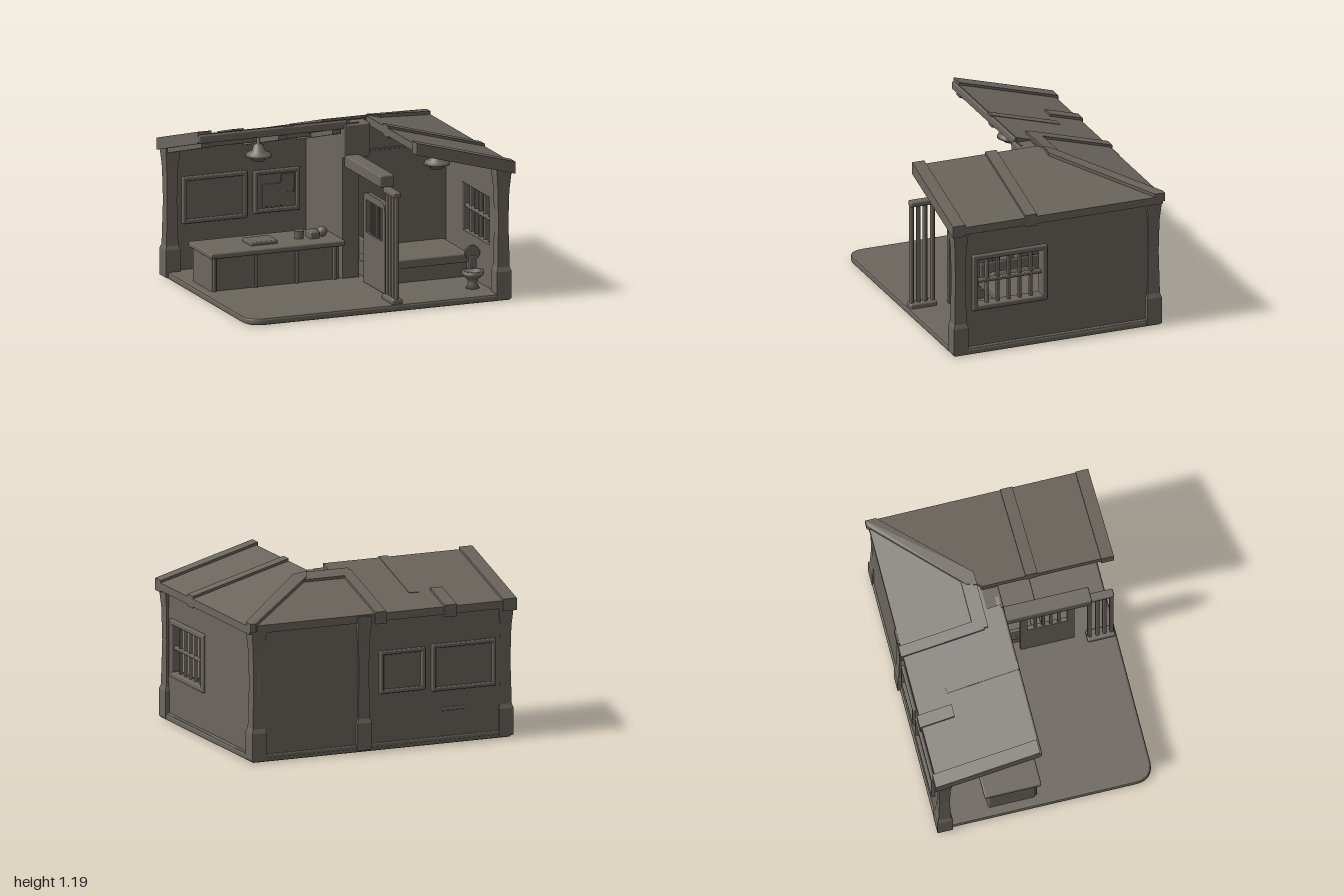
import * as THREE from 'three';
import { RoundedBoxGeometry } from 'three/addons/geometries/RoundedBoxGeometry.js';

export function createModel() {
  const model = new THREE.Group();
  const clay = new THREE.MeshStandardMaterial({ color: 0x6b655d });
  clay.name = 'warm grey';

  function add(name, geo, parent = model) {
    const m = new THREE.Mesh(geo, clay);
    m.name = name;
    parent.add(m);
    return m;
  }
  function group(name) {
    const g = new THREE.Group();
    g.name = name;
    model.add(g);
    return g;
  }
  // Box given by its limits, with softly rounded edges
  function block(name, x0, x1, y0, y1, z0, z1, parent = model) {
    const w = x1 - x0, h = y1 - y0, d = z1 - z0;
    const m = add(name, new RoundedBoxGeometry(w, h, d, 2, Math.min(0.012, Math.min(w, h, d) * 0.3)), parent);
    m.position.set((x0 + x1) / 2, (y0 + y1) / 2, (z0 + z1) / 2);
    return m;
  }
  // Slab over a plan outline of [x, z] points, its top following a height rule
  function slab(name, plan, top, t, parent = model) {
    const shape = new THREE.Shape(plan.map(([x, z]) => new THREE.Vector2(x, -z)));
    const geo = new THREE.ExtrudeGeometry(shape, { depth: t, bevelEnabled: false });
    geo.rotateX(-Math.PI / 2);
    const p = geo.attributes.position;
    for (let i = 0; i < p.count; i++) p.setY(i, p.getY(i) - t + top(p.getX(i), p.getZ(i)));
    geo.computeVertexNormals();
    return add(name, geo, parent);
  }
  const rect = (x0, x1, z0, z1) => [[x0, z0], [x1, z0], [x1, z1], [x0, z1]];
  // Box whose top follows a height rule
  function slopedWall(name, x0, x1, z0, z1, top) {
    const geo = new THREE.BoxGeometry(x1 - x0, 1, z1 - z0, 8, 1, 8);
    geo.translate((x0 + x1) / 2, 0, (z0 + z1) / 2);
    const p = geo.attributes.position;
    for (let i = 0; i < p.count; i++) p.setY(i, p.getY(i) > 0 ? top(p.getX(i), p.getZ(i)) : 0.04);
    geo.computeVertexNormals();
    add(name, geo);
  }

  // Roof heights: one pitch falls to the back, the other to the left side
  const backPitch = (x, z) => 0.965 + (z + 0.78) * 0.29;
  const sidePitch = (x) => 0.965 + (1 - x) * 0.275;
  const hip = (x, z) => Math.min(backPitch(x, z), sidePitch(x));

  // Floor with one rounded corner
  const f = new THREE.Shape();
  f.moveTo(0.96, 0.75);
  f.lineTo(-0.95, 0.75);
  f.lineTo(-0.95, -0.63);
  f.quadraticCurveTo(-0.95, -0.75, -0.83, -0.75);
  f.lineTo(0.96, -0.75);
  f.closePath();
  const floorGeo = new THREE.ExtrudeGeometry(f, { depth: 0.02, bevelThickness: 0.015, bevelSize: 0.015, bevelSegments: 2 });
  floorGeo.rotateX(-Math.PI / 2);
  add('floor', floorGeo).position.y = 0.02;

  // Outer walls
  block('backWall', -0.93, 0.93, 0.04, 0.95, -0.755, -0.7);
  const side = new THREE.Shape();
  side.moveTo(-0.73, 0.04);
  side.lineTo(0.74, 0.04);
  side.lineTo(0.74, 0.97);
  side.lineTo(-0.73, 0.95);
  side.closePath();
  side.holes.push(new THREE.Path([[0.1, 0.36], [0.1, 0.7], [0.59, 0.7], [0.59, 0.36]].map((p) => new THREE.Vector2(...p))));
  const sideGeo = new THREE.ExtrudeGeometry(side, { depth: 0.06, bevelEnabled: false });
  sideGeo.rotateY(-Math.PI / 2);
  add('sideWall', sideGeo).position.x = 0.95;
  block('sideSkirting', 0.9, 0.965, 0.03, 0.058, -0.7, 0.7);
  block('backSkirting', -0.9, 0.9, 0.03, 0.058, -0.768, -0.7);

  // Inner walls of the cell
  slopedWall('dividingWall', 0.07, 0.19, -0.73, -0.05, (x, z) => backPitch(x, z) - 0.03);
  slopedWall('cellBackWall', 0.15, 0.92, -0.24, -0.18, (x, z) => hip(x, z) - 0.03);
  block('gablePanel', 0.07, 0.27, 0.9, 1.14, -0.19, -0.03);
  block('cellWallTrim', 0.19, 0.9, 0.9, 0.915, -0.19, -0.172);

  // Flared corner and mid posts
  const postProfile = [[0, 0.02], [0.054, 0.02], [0.054, 0.21], [0.044, 0.24], [0.037, 0.55], [0.042, 0.78], [0.053, 0.9], [0.053, 0.96], [0, 0.96]];
  function post(x, z) {
    const pts = postProfile.map(([r, y]) => new THREE.Vector2(r * Math.SQRT2, y));
    const geo = new THREE.LatheGeometry(pts, 4, Math.PI / 4).toNonIndexed();
    geo.computeVertexNormals();
    add('post', geo).position.set(x, 0, z);
  }
  [[0.925, 0.715], [0.925, -0.715], [-0.93, -0.715], [0.14, -0.73]].forEach(([x, z]) => post(x, z));

  // Roof slabs
  const roof = group('roof');
  slab('backRoof', [[-1, -0.77], [1, -0.77], [0.35, -0.2], [0.28, -0.15], [0.12, -0.15], [0.12, -0.05], [-1, -0.05]], backPitch, 0.055, roof);
  slab('sideRoof', [[1, -0.77], [1, 0.78], [0.28, 0.78], [0.28, -0.14], [0.35, -0.2]], sidePitch, 0.055, roof);
  // Roof ribs, ridge cap and hip cap
  const over = (rule) => (x, z) => rule(x, z) + 0.018;
  slab('roofRib', rect(-1, -0.9, -0.785, -0.05), over(backPitch), 0.085, roof);
  slab('roofRib', rect(-0.55, -0.46, -0.785, -0.54), over(backPitch), 0.085, roof);
  slab('roofRib', rect(-0.02, 0.06, -0.785, -0.2), over(backPitch), 0.085, roof);
  slab('roofPatch', rect(-0.37, -0.3, -0.55, -0.04), (x, z) => backPitch(x, z) + 0.004, 0.06, roof);
  slab('roofRib', rect(0.28, 1, 0.165, 0.25), over(sidePitch), 0.085, roof);
  slab('roofRib', rect(0.27, 1, 0.695, 0.785), over(sidePitch), 0.085, roof);
  slab('ridgeCap', rect(-0.01, 0.36, -0.27, -0.17), (x, z) => backPitch(x, z) + 0.018, 0.06, roof);
  slab('hipCap', [[0.96, -0.785], [1, -0.785], [1, -0.71], [0.4, -0.17], [0.3, -0.17], [0.33, -0.24]], (x, z) => hip(x, z) + 0.024, 0.06, roof);
  block('frontFascia', -1, 0.1, 1.11, 1.17, -0.075, -0.035, roof);
  // Rafters under the open pitch
  [-0.94, -0.37, 0.03].forEach((x) =>
    slab('rafter', rect(x - 0.03, x + 0.03, -0.72, -0.06), (px, z) => backPitch(px, z) - 0.05, 0.05, roof));
  slab('crossBeam', rect(-0.93, 0.06, -0.5, -0.44), (x, z) => backPitch(x, z) - 0.05, 0.04, roof);

  // Rectangular frame in the xy plane, with an optional inner panel
  function frame(name, x0, x1, y0, y1, z0, z1, bar, panel) {
    const g = group(name);
    block('sill', x0, x1, y0, y0 + bar, z0, z1, g);
    block('head', x0, x1, y1 - bar, y1, z0, z1, g);
    block('jamb', x0, x0 + bar, y0, y1, z0, z1, g);
    block('jamb', x1 - bar, x1, y0, y1, z0, z1, g);
    if (panel) block('panel', x0 + bar / 2, x1 - bar / 2, y0 + bar / 2, y1 - bar / 2, (z0 + z1) / 2 - 0.008, (z0 + z1) / 2 + 0.002, g);
    return g;
  }
  // Wall boards inside and matching blind windows outside
  [[-0.85, -0.37, 0.38, 0.71], [-0.32, 0.02, 0.4, 0.7]].forEach(([x0, x1, y0, y1]) => {
    frame('wallBoard', x0, x1, y0, y1, -0.71, -0.675, 0.03, true);
    frame('blindWindow', x0, x1, y0, y1, -0.778, -0.745, 0.028, false);
  });
  block('pinnedSheet', -0.26, -0.1, 0.44, 0.6, -0.7, -0.682);
  block('pinnedSheet', -0.12, -0.02, 0.53, 0.66, -0.7, -0.684);
  block('backVent', -0.62, -0.45, 0.235, 0.26, -0.765, -0.74);

  // Barred window in the side wall
  const win = frame('barredWindow', -0.625, -0.07, 0.32, 0.73, -0.04, 0.04, 0.04, false);
  win.rotation.y = Math.PI / 2;
  win.position.x = 0.93;
  for (let i = 1; i <= 5; i++) {
    const x = -0.59 + i * 0.0817;
    block('bar', x - 0.011, x + 0.011, 0.35, 0.71, -0.015, 0.015, win);
  }
  block('crossBar', -0.6, -0.09, 0.515, 0.54, -0.02, 0.02, win);

  // Cell front: beam, bars and standing door
  const cell = group('cellFront');
  block('beam', 0.08, 0.19, 0.84, 0.925, -0.05, 0.585, cell);
  block('topRail', 0.11, 0.17, 0.8, 0.84, 0.56, 0.75, cell);
  block('bottomRail', 0.1, 0.18, 0.05, 0.09, 0.56, 0.755, cell);
  [0.58, 0.635, 0.685, 0.735].forEach((z) => block('bar', 0.125, 0.155, 0.06, 0.83, z - 0.014, z + 0.014, cell));
  const d = new THREE.Shape();
  d.moveTo(0.1, 0.06);
  d.lineTo(0.48, 0.06);
  d.lineTo(0.48, 0.63);
  d.quadraticCurveTo(0.48, 0.7, 0.41, 0.7);
  d.lineTo(0.17, 0.7);
  d.quadraticCurveTo(0.1, 0.7, 0.1, 0.63);
  d.closePath();
  d.holes.push(new THREE.Path([[0.15, 0.42], [0.15, 0.65], [0.43, 0.65], [0.43, 0.42]].map((p) => new THREE.Vector2(...p))));
  const doorGeo = new THREE.ExtrudeGeometry(d, { depth: 0.03, bevelEnabled: false });
  doorGeo.rotateY(-Math.PI / 2);
  add('cellDoor', doorGeo, cell).position.x = 0.19;
  for (let i = 0; i < 4; i++) block('doorBar', 0.168, 0.184, 0.41, 0.66, 0.195 + i * 0.055, 0.22 + i * 0.055, cell);
  block('doorPanel', 0.188, 0.198, 0.12, 0.36, 0.16, 0.42, cell);

  // Bed
  const bed = group('bed');
  block('mattress', 0.2, 0.88, 0.165, 0.23, -0.19, 0.27, bed);
  block('base', 0.22, 0.88, 0.05, 0.17, -0.19, 0.22, bed);
  block('headboard', 0.2, 0.225, 0.22, 0.33, -0.18, 0.26, bed);
  block('pillow', 0.22, 0.3, 0.22, 0.27, -0.12, 0.2, bed).rotation.z = 0.5;

  // Toilet
  const toilet = group('toilet');
  const bowl = [[0, 0.05], [0.05, 0.05], [0.03, 0.09], [0.04, 0.12], [0.075, 0.15], [0.078, 0.175], [0.055, 0.175], [0.03, 0.14], [0, 0.13]];
  add('bowl', new THREE.LatheGeometry(bowl.map((p) => new THREE.Vector2(...p)), 20), toilet).position.set(0.79, 0, 0.53);
  const lid = add('lid', new THREE.CylinderGeometry(0.055, 0.055, 0.02, 20), toilet);
  lid.rotation.x = Math.PI / 2;
  lid.position.set(0.82, 0.28, 0.45);
  block('lidNeck', 0.79, 0.85, 0.14, 0.26, 0.44, 0.465, toilet);

  // Desk and the things on it
  const desk = group('desk');
  block('top', -0.92, 0.08, 0.29, 0.33, -0.42, -0.02, desk);
  block('body', -0.9, 0.05, 0.04, 0.3, -0.39, -0.06, desk);
  [-0.89, -0.58, -0.28, 0.0].forEach((x) => block('frontBatten', x, x + 0.025, 0.05, 0.29, -0.07, -0.045, desk));
  block('papers', -0.58, -0.38, 0.325, 0.355, -0.28, -0.12, desk);
  block('telephone', -0.13, -0.06, 0.325, 0.38, -0.24, -0.14, desk);
  const mug = add('mug', new THREE.CylinderGeometry(0.035, 0.03, 0.06, 16), desk);
  mug.position.set(-0.19, 0.355, -0.2);
  add('globe', new THREE.SphereGeometry(0.037, 16, 10), desk).position.set(-0.02, 0.362, -0.2);

  // Hanging lamps
  const lampProfile = [[0, 0.87], [0.045, 0.875], [0.05, 0.895], [0.092, 0.905], [0.085, 0.925], [0.045, 0.945], [0.035, 0.985], [0.012, 0.995], [0.012, 1.06], [0, 1.06]];
  [[-0.47, -0.25, 0.02], [0.6, 0.35, 0]].forEach(([x, z, y]) => {
    add('lamp', new THREE.LatheGeometry(lampProfile.map((p) => new THREE.Vector2(...p)), 20)).position.set(x, y, z);
  });

  return model;
}
